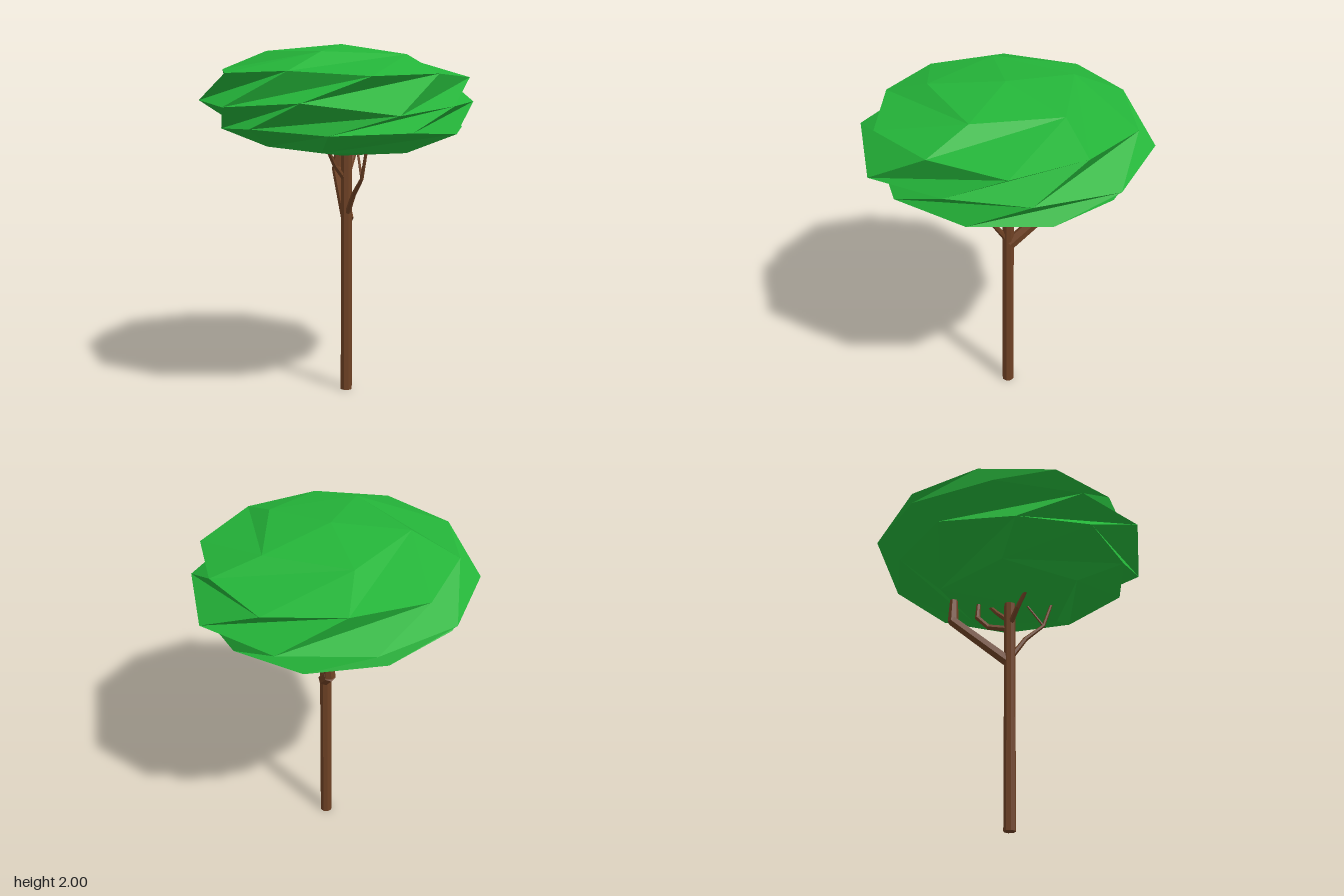
import * as THREE from 'three';

const leafGreen = new THREE.MeshStandardMaterial({ color: 0x24b439, flatShading: true });
const barkBrown = new THREE.MeshStandardMaterial({ color: 0x6e4124, flatShading: true });
leafGreen.name = 'leafGreen';
barkBrown.name = 'barkBrown';

// Flattened icosphere whose rings are each twisted 45 degrees further than the one above
function canopyGeometry() {
  const ring = (count, start, radius, height) => Array.from({ length: count }, (_, i) => {
    const a = THREE.MathUtils.degToRad(start + (i * 360) / count);
    const r = radius(i), x = r * Math.cos(a);
    return [x, height(i, x), r * Math.sin(a)];
  });
  const equatorY = [1.68, 1.67, 1.637, 1.7, 1.67, 1.69, 1.68, 1.685, 1.68, 1.657];
  const equatorR = [0.75, 0.71];
  const top = [0, 2, 0], bottom = [0, 1.375, 0];
  const A = ring(5, -90, () => 0.42, (i, x) => 1.95 - 0.03 * x);
  const B = ring(10, -45, i => (i % 2 ? 0.68 : 0.716), (i, x) => (i % 2 ? 1.848 : 1.83) - 0.02 * x);
  const C = ring(10, 18, i => equatorR[i] ?? 0.8, i => equatorY[i]);
  const D = ring(10, 45, i => (i % 2 ? 0.716 : 0.68), (i, x) => (i % 2 ? 1.545 : 1.525) - 0.02 * x);
  const E = ring(5, 126, () => 0.42, (i, x) => 1.416 - 0.03 * x);

  const pos = [];
  const tri = (...corners) => corners.forEach(c => pos.push(...c));
  const at = (r, i) => r[(i + r.length) % r.length];
  for (let k = 0; k < 5; k++) {
    // upper cap
    tri(top, at(A, k + 1), A[k]);
    tri(A[k], B[2 * k + 1], B[2 * k]);
    tri(A[k], B[2 * k], at(B, 2 * k - 1));
    tri(A[k], at(A, k + 1), B[2 * k + 1]);
    // lower cap
    tri(D[2 * k], D[2 * k + 1], E[k]);
    tri(D[2 * k + 1], at(D, 2 * k + 2), E[k]);
    tri(at(D, 2 * k + 2), at(E, k + 1), E[k]);
    tri(E[k], at(E, k + 1), bottom);
  }
  // bands above and below the equator
  for (let j = 0; j < 10; j++) {
    tri(B[j], C[j], at(C, j - 1));
    tri(B[j], at(B, j + 1), C[j]);
    tri(C[j], at(D, j + 1), D[j]);
    tri(at(C, j - 1), C[j], D[j]);
  }
  const geo = new THREE.BufferGeometry();
  geo.setAttribute('position', new THREE.Float32BufferAttribute(pos, 3));
  geo.computeVertexNormals();
  return geo;
}

// Chain of tapered segments; each point is [x, y, z, radius]
function limb(name, points, sides = 6) {
  const group = new THREE.Group();
  group.name = name;
  for (let i = 0; i < points.length - 1; i++) {
    const a = new THREE.Vector3(...points[i]), b = new THREE.Vector3(...points[i + 1]);
    const dir = b.clone().sub(a);
    const geo = new THREE.CylinderGeometry(points[i + 1][3], points[i][3], dir.length() + points[i + 1][3] * 0.4, sides);
    const mesh = new THREE.Mesh(geo, barkBrown);
    mesh.name = name + 'Segment';
    mesh.position.copy(a).add(b).multiplyScalar(0.5);
    mesh.quaternion.setFromUnitVectors(new THREE.Vector3(0, 1, 0), dir.normalize());
    group.add(mesh);
  }
  return group;
}

export function createModel() {
  const tree = new THREE.Group();
  tree.name = 'tree';

  const canopy = new THREE.Mesh(canopyGeometry(), leafGreen);
  canopy.name = 'canopy';
  tree.add(canopy);

  const trunk = new THREE.Mesh(new THREE.CylinderGeometry(0.033, 0.035, 1.42, 8), barkBrown);
  trunk.name = 'trunk';
  trunk.position.set(0.03, 0.71, 0);
  tree.add(trunk);

  tree.add(
    limb('backBranch', [[0.04, 1.01, -0.01, 0.036], [0.1, 1.265, -0.325, 0.032], [0.115, 1.45, -0.32, 0.022]]),
    limb('backTwig', [[0.04, 1.22, -0.02, 0.018], [0.07, 1.235, -0.12, 0.016], [0.1, 1.305, -0.18, 0.016], [0.11, 1.45, -0.17, 0.011]]),
    limb('frontBranch', [[0.03, 1.05, 0.02, 0.016], [0.035, 1.16, 0.095, 0.014], [0.04, 1.26, 0.205, 0.01], [0.045, 1.45, 0.27, 0.008]]),
    limb('frontTwig', [[0.04, 1.26, 0.205, 0.008], [0.06, 1.43, 0.085, 0.006]]),
    limb('rightTwig', [[0.02, 1.24, 0, 0.016], [-0.05, 1.32, 0.03, 0.014], [-0.12, 1.43, 0.08, 0.01]]),
    limb('leftTwig', [[0.04, 1.27, 0, 0.016], [0.09, 1.34, -0.06, 0.014], [0.15, 1.43, -0.12, 0.01]])
  );
  return tree;
}
